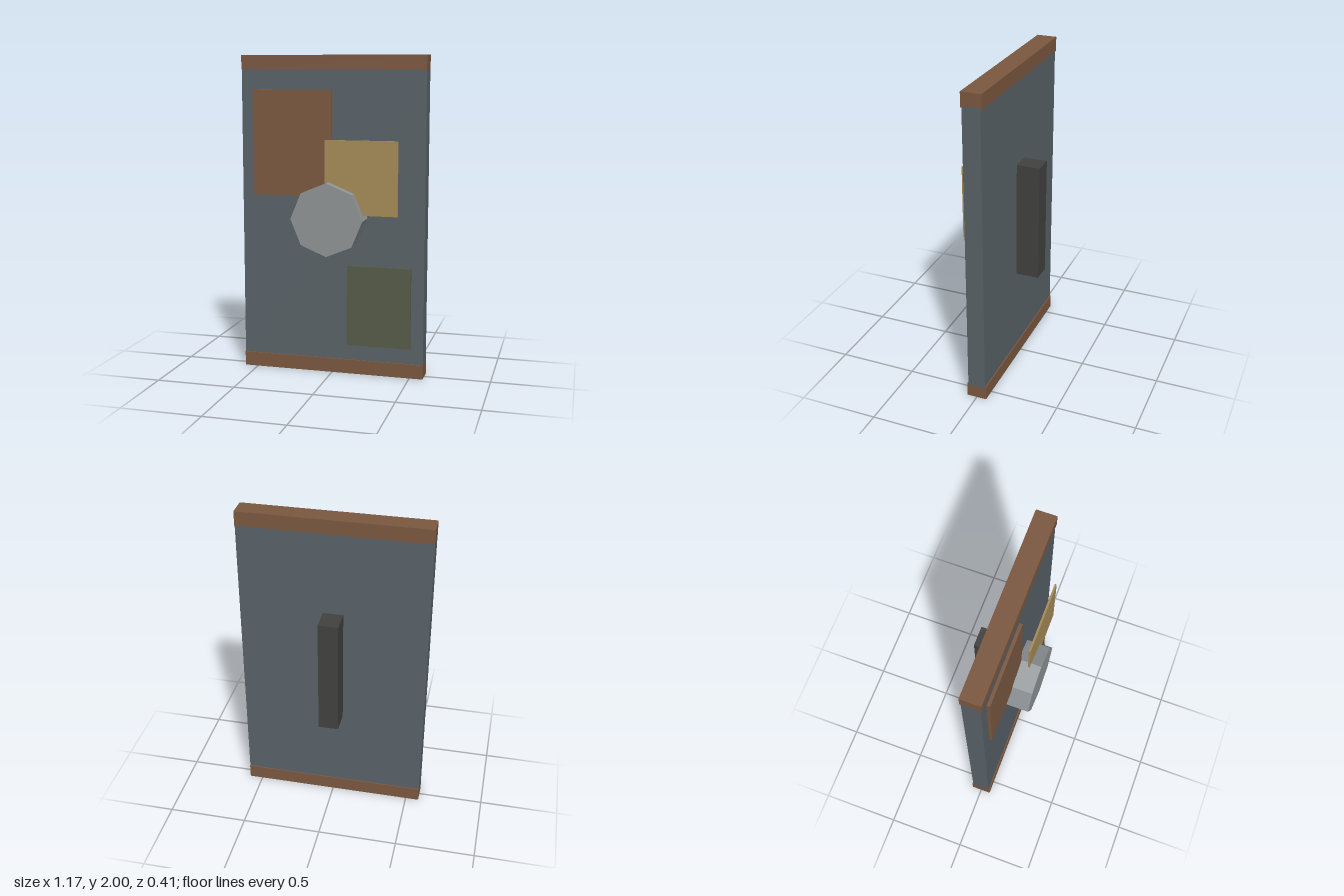
import * as THREE from 'three';

const material = (color) => new THREE.MeshStandardMaterial({ color, flatShading: true });

const slate = material(0x596268);
const brown = material(0x7b5840);
const tan = material(0xa68c58);
const olive = material(0x565b48);
const steel = material(0x8e9395);
const charcoal = material(0x41423f);

export function createModel() {
  const model = new THREE.Group();
  model.name = 'panelBoard';

  // Box given by its low and high limits on each axis
  const addBox = (name, mat, [x0, x1], [y0, y1], [z0, z1]) => {
    const mesh = new THREE.Mesh(new THREE.BoxGeometry(x1 - x0, y1 - y0, z1 - z0), mat);
    mesh.position.set((x0 + x1) / 2, (y0 + y1) / 2, (z0 + z1) / 2);
    mesh.name = name;
    model.add(mesh);
  };

  // Main board between two slightly deeper rails
  addBox('board', slate, [-0.585, 0.585], [0.08, 1.92], [-0.056, 0.056]);
  addBox('bottomRail', brown, [-0.585, 0.585], [0, 0.09], [-0.063, 0.063]);
  addBox('topRail', brown, [-0.585, 0.585], [1.91, 2], [-0.063, 0.063]);

  // Patches on the front; the tan one floats, cutting into the boss
  addBox('brownPatch', brown, [-0.508, 0], [1.13, 1.79], [0.05, 0.076]);
  addBox('olivePatch', olive, [0.1, 0.505], [0.19, 0.7], [0.05, 0.076]);
  addBox('tanPlate', tan, [-0.025, 0.43], [1.03, 1.488], [0.126, 0.138]);

  // Octagonal boss with corners on the vertical and horizontal axes
  const boss = new THREE.Mesh(new THREE.CylinderGeometry(0.227, 0.227, 0.153, 8), steel);
  boss.rotation.x = Math.PI / 2;
  boss.position.set(0, 1.003, 0.127);
  boss.name = 'octagonalBoss';
  model.add(boss);

  // Upright handle on the back
  addBox('backHandle', charcoal, [-0.063, 0.063], [0.623, 1.38], [-0.203, -0.05]);

  return model;
}
